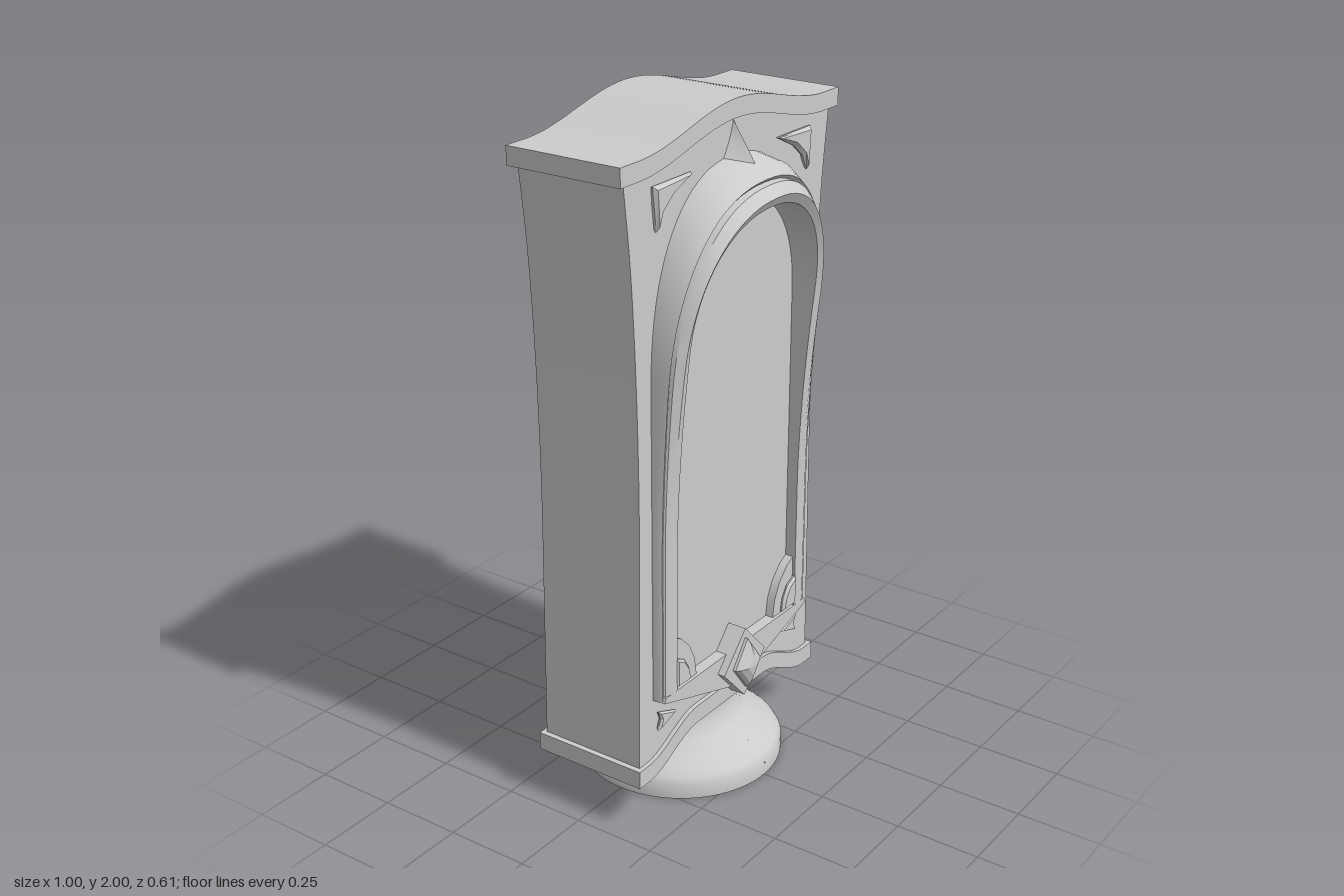
import * as THREE from 'three';
import { toCreasedNormals } from 'three/addons/utils/BufferGeometryUtils.js';

const material = new THREE.MeshStandardMaterial({ color: 0xcccccc });
const BODY_Z = 0.165;

function part(parent, name, geometry, crease = 0.5) {
  const mesh = new THREE.Mesh(toCreasedNormals(geometry, crease), material);
  mesh.name = name;
  parent.add(mesh);
  return mesh;
}

const toShape = (pts) => new THREE.Shape(pts.map(([x, y]) => new THREE.Vector2(x, y)));

// Flat outline given depth from z0 to z1
function slab(pts, z0, z1) {
  return new THREE.ExtrudeGeometry(toShape(pts), { depth: z1 - z0, bevelEnabled: false }).translate(0, 0, z0);
}

// Small raised ornament with sloping edges
function bevelled(pts, z, bevel = 0.01) {
  return new THREE.ExtrudeGeometry(toShape(pts), {
    depth: 0.004, bevelThickness: bevel, bevelSize: bevel, bevelOffset: -bevel, bevelSegments: 1,
  }).translate(0, 0, z);
}

// Surface through rows of points
function loft(rows) {
  const n = rows[0].length, index = [];
  for (let i = 0; i < rows.length - 1; i++) {
    for (let j = 0; j < n - 1; j++) {
      const a = i * n + j, b = a + 1, c = a + n, d = c + 1;
      index.push(a, b, c, b, d, c);
    }
  }
  const g = new THREE.BufferGeometry();
  g.setAttribute('position', new THREE.Float32BufferAttribute(rows.flat(2), 3));
  g.setIndex(index);
  return g;
}

// Ridged point that tapers upwards against a wall at z0
function spike(y0, height, width, z0, depth, power) {
  const rows = [];
  for (let i = 0; i <= 8; i++) {
    const s = i / 8, w = width * (1 - s) ** power, y = y0 + height * s;
    rows.push([[-w, y, z0], [0, y, z0 + depth * (1 - s)], [w, y, z0]]);
  }
  return loft(rows);
}

// Points of a curve y = f(x) from x0 to x1
function curve(f, x0, x1, n = 48) {
  return Array.from({ length: n + 1 }, (_, i) => {
    const x = x0 + (x1 - x0) * i / n;
    return [x, f(x)];
  });
}

const roofY = (x) => 1.93 + 0.035 * (1 + Math.cos(Math.PI * Math.min(Math.abs(x) / 0.43, 1)));
const floorY = (x) => 0.22 - 0.076 * THREE.MathUtils.smoothstep(Math.abs(x), 0.17, 0.4);

// Arch from lower left, over the top, to lower right
function arch(w, spring, top, power, bottom = 0.385) {
  const pts = [];
  for (let i = 0; i <= 16; i++) pts.push([-w, bottom + (spring - bottom) * i / 16]);
  for (let i = 1; i < 40; i++) {
    const a = Math.PI * i / 40, c = Math.cos(a), s = Math.sin(a);
    pts.push([-w * Math.sign(c) * Math.abs(c) ** (2 / power), spring + (top - spring) * s ** (2 / power)]);
  }
  for (let i = 16; i >= 0; i--) pts.push([w, bottom + (spring - bottom) * i / 16]);
  return pts;
}

// Hooded frame: nested arches, each at its own depth
function hoodGeometry() {
  // half width, spring height, top, power, offset behind the lip (null = on the wall)
  const rings = [
    [0.365, 1.3, 1.85, 2.3, null],
    [0.364, 1.3, 1.835, 2.3, 0.085],
    [0.36, 1.3, 1.8, 2.3, 0.042],
    [0.353, 1.3, 1.79, 2.3, 0.05],
    [0.35, 1.3, 1.787, 2.3, 0.03],
    [0.325, 1.35, 1.757, 2.25, 0],
    [0.3, 1.4, 1.73, 2.2, 0.012],
    [0.3, 1.4, 1.73, 2.2, null],
  ].map(([w, spring, top, power, back]) => arch(w, spring, top, power).map(([x, y]) => {
    const t = Math.max(0, (y - 0.8) / 0.95) ** 1.8;
    const z = back === null ? BODY_Z - 0.005 : 0.205 + 0.1 * t - back * (0.25 + 0.75 * Math.min(t, 1));
    return [x, y, z];
  }));
  return loft(rings[0].map((_, i) => rings.map((ring) => ring[i])));
}

function createFace(name) {
  const face = new THREE.Group();
  face.name = name;

  part(face, 'panel', slab(arch(0.31, 1.4, 1.74, 2.2), 0.16, 0.168));
  part(face, 'archHood', hoodGeometry(), 0.6);
  part(face, 'sill', slab([[-0.362, 0.385], [0, 0.27], [0.362, 0.385], [0.355, 0.4], [-0.355, 0.4]], 0.16, 0.203));
  part(face, 'crest', spike(1.79, 0.16, 0.09, 0.16, 0.105, 1.5), 0.4);

  for (const s of [-1, 1]) {
    const flip = (pts) => pts.map(([x, y]) => [s * x, y]);
    part(face, 'upperCornerOrnament', bevelled(flip(
      [[0.2, 1.85], [0.365, 1.85], [0.35, 1.73], [0.325, 1.775], [0.28, 1.812]]), 0.17));
    part(face, 'lowerCornerOrnament', bevelled(flip(
      [[0.272, 0.312], [0.352, 0.343], [0.342, 0.315], [0.352, 0.285]]), 0.17, 0.006));
    // Gusset in the lower corner of the opening, with a small leaf on it
    part(face, 'gusset', slab(flip(
      [[0.31, 0.39], [0.31, 0.565], [0.27, 0.545], [0.23, 0.505], [0.205, 0.455], [0.195, 0.39]]), 0.16, 0.193));
    part(face, 'gussetLeaf', bevelled(flip(
      [[0.305, 0.405], [0.305, 0.5], [0.265, 0.48], [0.242, 0.445], [0.235, 0.405]]), 0.195, 0.008));
  }

  // Diamond badge: plate and cut gem
  part(face, 'badgePlate', slab([[0, 0.245], [0.104, 0.355], [0, 0.465], [-0.104, 0.355]], 0.16, 0.226));
  const cut = [[0.08, 0.2], [0.08, 0.235], [0.065, 0.247], [0.035, 0.258], [0, 0.262]];
  const gem = new THREE.LatheGeometry(cut.map(([r, y]) => new THREE.Vector2(r, y)), 4);
  part(face, 'badgeGem', gem.rotateX(Math.PI / 2).scale(0.76, 1, 1).translate(0, 0.355, 0), 0.1);
  return face;
}

export function createModel() {
  const model = new THREE.Group();
  model.name = 'pedestalCabinet';

  // Body with flared sides
  const side = new THREE.SplineCurve([[0.43, 0.18], [0.424, 0.6], [0.42, 1], [0.428, 1.35], [0.446, 1.65], [0.475, 1.9]]
    .map(([x, y]) => new THREE.Vector2(x, y))).getPoints(30).map((p) => [p.x, p.y]);
  const body = [
    ...curve((x) => floorY(x) + 0.025, -0.425, 0.425),
    ...side,
    ...curve((x) => roofY(x) - 0.025, 0.47, -0.47),
    ...side.map(([x, y]) => [-x, y]).reverse(),
  ];
  part(model, 'body', slab(body, -BODY_Z, BODY_Z));

  // Wavy mouldings at top and bottom
  part(model, 'topCap', slab(
    [...curve((x) => roofY(x) - 0.052, -0.5, 0.5), ...curve(roofY, 0.5, -0.5)], -0.178, 0.178));
  part(model, 'bottomCap', slab(
    [...curve(floorY, -0.446, 0.446), ...curve((x) => floorY(x) + 0.054, 0.446, -0.446)], -0.178, 0.178));

  // Round foot with a waisted neck
  const profile = [[0, 0], [0.3, 0], [0.3, 0.045], [0.288, 0.064], [0.262, 0.083], [0.225, 0.102],
    [0.19, 0.125], [0.168, 0.155], [0.158, 0.185], [0.158, 0.21], [0.165, 0.24]];
  part(model, 'foot', new THREE.LatheGeometry(profile.map(([x, y]) => new THREE.Vector2(x, y)), 64), 0.7);
  for (let i = 0; i < 4; i++) {
    part(model, 'footLeaf', spike(0.04, 0.055, 0.045, 0.24, 0.065, 1.1), 0.3).rotation.y = i * Math.PI / 2;
  }

  // Matching decorated faces
  model.add(createFace('frontFace'));
  const back = createFace('backFace');
  back.rotation.y = Math.PI;
  model.add(back);
  return model;
}
